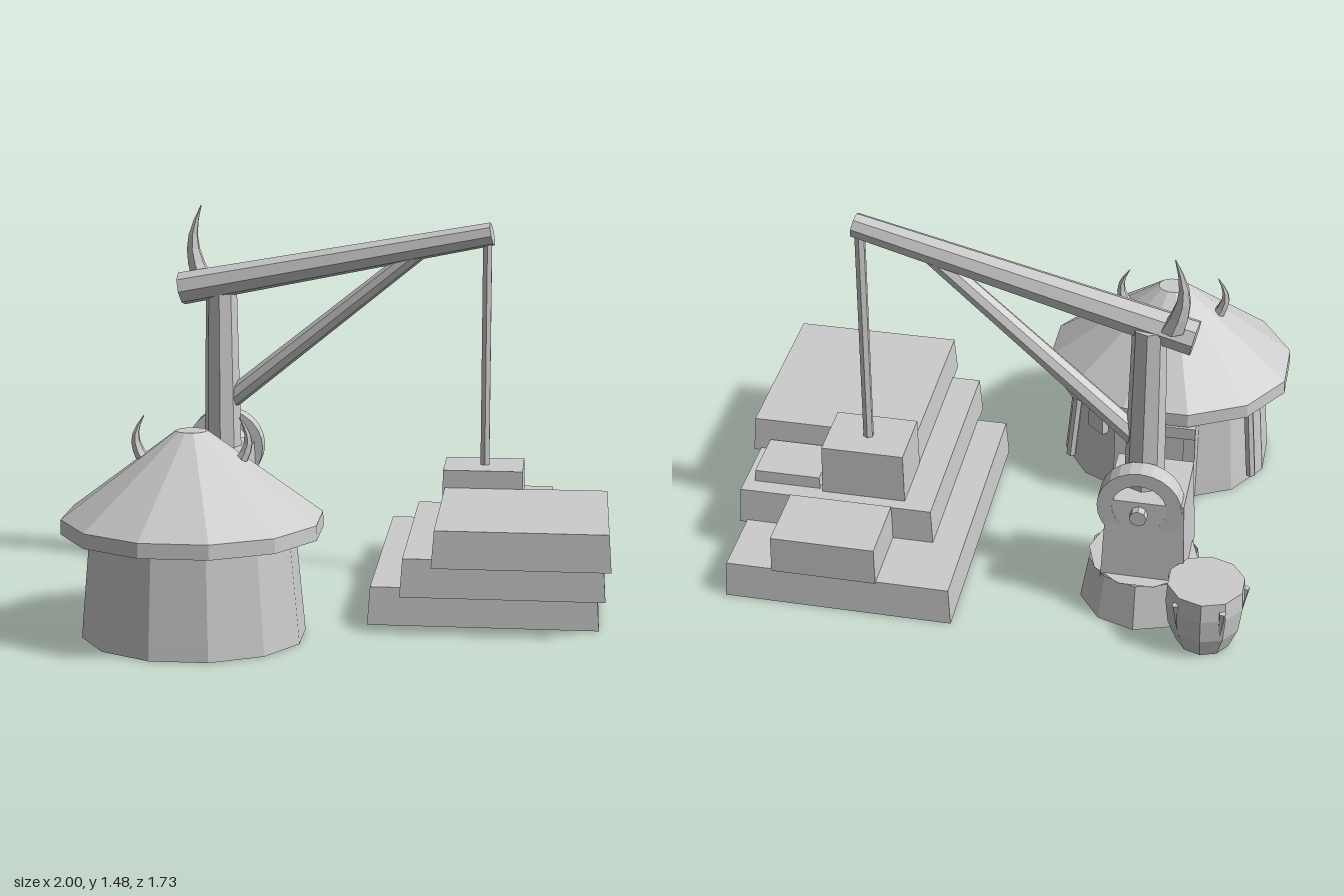
import * as THREE from 'three';

const stone = new THREE.MeshStandardMaterial({ color: 0xcccccc, flatShading: true, side: THREE.DoubleSide });
stone.name = 'light grey';

export function createModel() {
  const model = new THREE.Group();
  const add = (name, geo, x = 0, y = 0, z = 0, parent = model) => {
    const m = new THREE.Mesh(geo, stone);
    m.name = name;
    m.position.set(x, y, z);
    parent.add(m);
    return m;
  };

  // Block between two corners, drawn in at the top, open underneath
  const block = (name, x0, x1, y0, y1, z0, z1, inset = 0.01) => {
    const w = x1 - x0, h = y1 - y0, d = z1 - z0;
    const g = new THREE.BoxGeometry(w, h, d);
    const p = g.attributes.position;
    for (let i = 0; i < p.count; i++) if (p.getY(i) > 0) {
      p.setX(i, p.getX(i) - Math.sign(p.getX(i)) * inset);
      p.setZ(i, p.getZ(i) - Math.sign(p.getZ(i)) * inset);
    }
    const idx = Array.from(g.index.array);
    idx.splice(18, 6);
    g.setIndex(idx);
    g.clearGroups();
    return add(name, g, (x0 + x1) / 2, (y0 + y1) / 2, (z0 + z1) / 2);
  };

  // Round beam from a to b
  const beam = (name, a, b, ra, rb, sides = 8) => {
    const A = new THREE.Vector3(...a), B = new THREE.Vector3(...b);
    const dir = B.clone().sub(A);
    const m = add(name, new THREE.CylinderGeometry(rb, ra, dir.length(), sides), ...A.clone().add(B).multiplyScalar(0.5));
    m.quaternion.setFromUnitVectors(new THREE.Vector3(0, 1, 0), dir.normalize());
    return m;
  };

  // Curved horn bulging along x and leaning to its tip
  const horn = (name, x, y, z, h, r, bulge, leanX = 0, leanZ = 0) => {
    const g = new THREE.CylinderGeometry(0.002, r, h, 6, 5);
    const p = g.attributes.position;
    for (let i = 0; i < p.count; i++) {
      const t = p.getY(i) / h + 0.5;
      p.setX(i, p.getX(i) + bulge * Math.sin(Math.PI * t) + leanX * t);
      p.setZ(i, p.getZ(i) + leanZ * t);
    }
    return add(name, g, x, y + h / 2, z);
  };

  // Twelve-sided hut, wider in x than in z
  const hut = new THREE.Group();
  hut.name = 'hut';
  hut.position.set(-0.53, 0, 0.447);
  model.add(hut);
  const ringed = (name, pts, sx, sz) => {
    const g = new THREE.LatheGeometry(pts.map(p => new THREE.Vector2(...p)), 12, Math.PI / 12);
    add(name, g, 0, 0, 0, hut).scale.set(sx, 1, sz);
  };
  ringed('hutWall', [[0.417, 0], [0.412, 0.06], [0.38, 0.4]], 1, 0.87);
  ringed('roof', [[0.38, 0.395], [0.486, 0.395], [0.484, 0.45], [0.058, 0.768], [0, 0.768]], 1, 0.89);

  // Roof horns and wall posts
  for (const s of [-1, 1]) {
    horn('roofHorn', -0.53 + s * 0.18, 0.66, 0.447, 0.16, 0.028, s * 0.03, -s * 0.005);
    beam('wallPost', [-0.53 + s * 0.365, 0.04, 0.255], [-0.53 + s * 0.335, 0.39, 0.268], 0.02, 0.02, 6);
  }

  // Doorway at the back of the hut
  for (const s of [-1, 1]) block('doorJamb', -0.53 + s * 0.135 - 0.023, -0.53 + s * 0.135 + 0.023, 0, 0.37, 0.035, 0.14, 0);
  block('doorLintel', -0.688, -0.372, 0.34, 0.39, 0.025, 0.14, 0);
  block('doorStep', -0.66, -0.4, 0, 0.03, 0.035, 0.12, 0);
  add('door', new THREE.BoxGeometry(0.224, 0.31, 0.04), -0.53, 0.185, 0.09);
  add('doorHandle', new THREE.BoxGeometry(0.02, 0.035, 0.02), -0.46, 0.18, 0.062);
  add('window', new THREE.BoxGeometry(0.09, 0.08, 0.03), -0.285, 0.27, 0.185).rotation.y = -0.75;

  // Crane foot and housing
  add('craneFoot', new THREE.CylinderGeometry(0.205, 0.235, 0.18, 10, 1, true), -0.57, 0.09, -0.495);
  add('craneFootTop', new THREE.CircleGeometry(0.205, 10).rotateX(-Math.PI / 2), -0.57, 0.18, -0.495);
  block('craneHousing', -0.74, -0.43, 0.15, 0.51, -0.642, -0.33, 0.014);

  // Winch wheel with hub
  const rim = new THREE.Shape().absarc(0, 0, 0.155, 0, Math.PI * 2);
  rim.holes.push(new THREE.Path().absarc(0, 0, 0.1, 0, Math.PI * 2, true));
  add('winchWheel', new THREE.ExtrudeGeometry(rim, { depth: 0.075, bevelEnabled: false, curveSegments: 12 }), -0.565, 0.485, -0.632);
  beam('winchHub', [-0.565, 0.462, -0.56], [-0.565, 0.462, -0.662], 0.032, 0.032);

  // Mast, boom, brace and rope
  beam('mast', [-0.562, 0.48, -0.49], [-0.562, 1.18, -0.492], 0.075, 0.062);
  beam('boom', [-0.722, 1.148, -0.487], [0.523, 1.397, -0.37], 0.066, 0.046);
  beam('brace', [-0.53, 0.7, -0.487], [0.24, 1.325, -0.4], 0.042, 0.035);
  beam('rope', [0.505, 0.47, -0.37], [0.505, 1.37, -0.37], 0.02, 0.02, 6);
  horn('mastHorn', -0.645, 1.19, -0.515, 0.29, 0.045, -0.035, 0, -0.01);

  // Stacked slabs and loose blocks
  block('lowerSlab', 0.095, 0.96, 0, 0.145, -0.825, 0.275);
  block('middleSlab', 0.222, 0.98, 0.135, 0.28, -0.548, 0.362);
  block('upperSlab', 0.343, 0.998, 0.27, 0.41, -0.265, 0.443);
  block('backBlock', 0.378, 0.775, 0.14, 0.29, -0.82, -0.543, 0.003);
  block('hoistedBlock', 0.342, 0.662, 0.275, 0.48, -0.49, -0.243, 0.004);
  block('smallBlock', 0.675, 0.932, 0.275, 0.327, -0.475, -0.265, 0.003);

  // Barrel with small spikes round its side
  const barrel = [[0, 0], [0.1, 0], [0.135, 0.09], [0.147, 0.19], [0.142, 0.265], [0, 0.265]];
  add('barrel', new THREE.LatheGeometry(barrel.map(p => new THREE.Vector2(...p)), 10), -0.83, 0, -0.72);
  for (let i = 0; i < 5; i++) {
    const a = i * Math.PI * 0.4 + 0.4;
    const c = Math.cos(a), s = Math.sin(a);
    beam('barrelSpike', [-0.83 + c * 0.122, 0.07, -0.72 + s * 0.122], [-0.83 + c * 0.146, 0.23, -0.72 + s * 0.146], 0.004, 0.014, 5);
  }
  return model;
}
